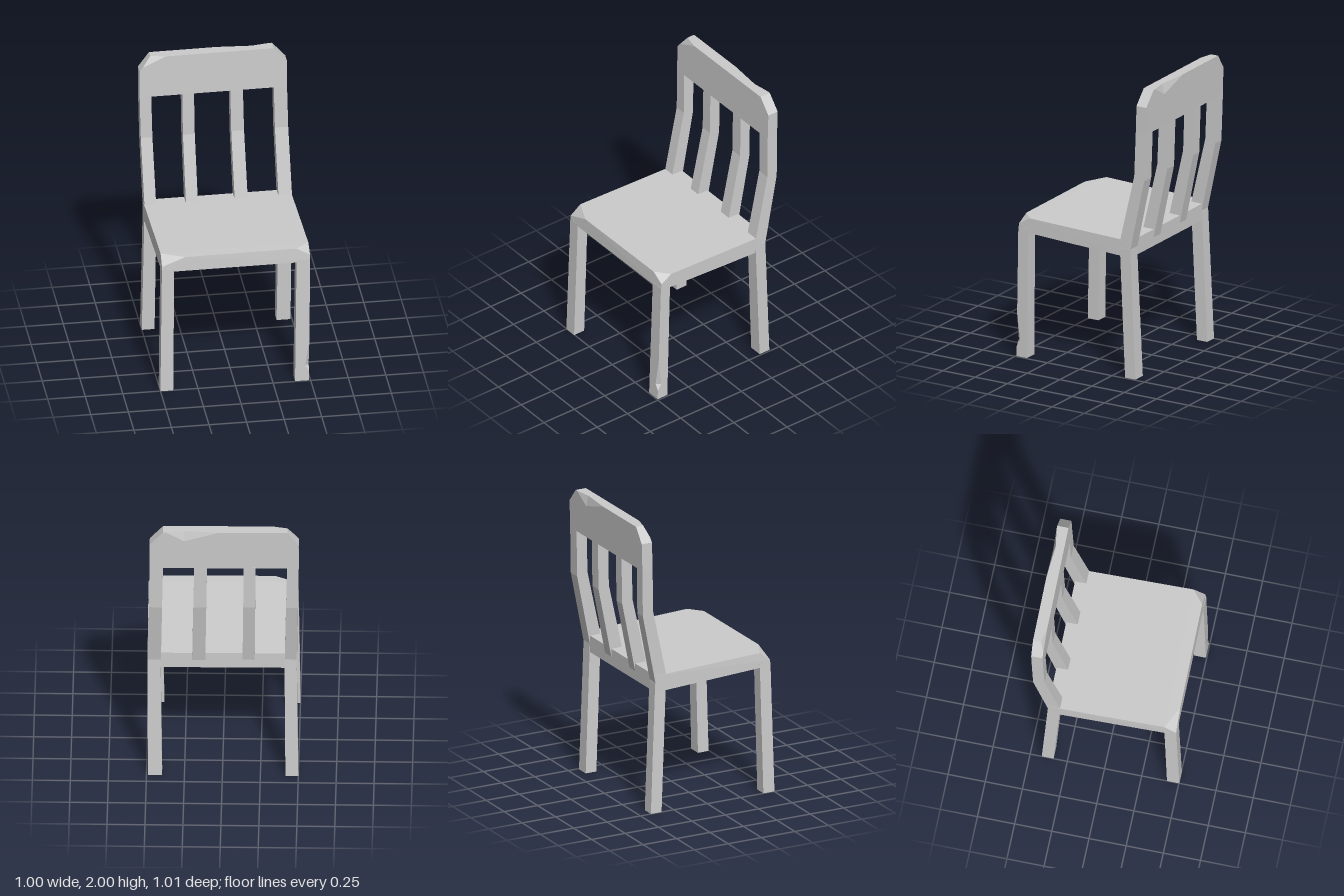
import * as THREE from 'three';
import { ConvexGeometry } from 'three/addons/geometries/ConvexGeometry.js';

const material = new THREE.MeshStandardMaterial({ color: 0xcccccc, flatShading: true });

// Four-cornered cross-section: back left, front left, front right, back right
const ring = (yFront, yBack, x0, x1, zBack, zFront) =>
  [[x0, yBack, zBack], [x0, yFront, zFront], [x1, yFront, zFront], [x1, yBack, zBack]];

// Flat-faced solid through cross-sections listed from bottom to top
function loft(rings) {
  const pos = [];
  const tri = (a, b, c) => pos.push(...a, ...b, ...c);
  const n = rings[0].length;
  for (let r = 0; r < rings.length - 1; r++) {
    for (let i = 0; i < n; i++) {
      const j = (i + 1) % n, lo = rings[r], hi = rings[r + 1];
      tri(lo[i], lo[j], hi[j]);
      tri(lo[i], hi[j], hi[i]);
    }
  }
  const bottom = rings[0], top = rings[rings.length - 1];
  for (let i = 1; i < n - 1; i++) {
    tri(bottom[0], bottom[i + 1], bottom[i]);
    tri(top[0], top[i], top[i + 1]);
  }
  const g = new THREE.BufferGeometry();
  g.setAttribute('position', new THREE.Float32BufferAttribute(pos, 3));
  g.computeVertexNormals();
  return g;
}

const hull = (points) => new ConvexGeometry(points.map((p) => new THREE.Vector3(...p)));

export function createModel() {
  const group = new THREE.Group();
  const add = (name, geometry) => {
    const mesh = new THREE.Mesh(geometry, material);
    mesh.name = name;
    group.add(mesh);
  };

  // Seat slab, sloping backwards, with both front corners chipped off
  add('seat', hull([
    [-0.49, 0.955, -0.382], [0.493, 0.955, -0.388], [-0.49, 0.84, -0.382], [0.493, 0.84, -0.388],
    [-0.486, 0.88, 0.48], [0.5, 0.88, 0.474],
    [-0.33, 0.98, 0.474], [-0.484, 0.98, 0.4], [-0.486, 0.92, 0.478],
    [0.41, 0.98, 0.467], [0.5, 0.98, 0.39], [0.5, 0.93, 0.47],
  ]));

  // Front legs; the left one has a notch in its outer corner near the foot
  add('frontRightLeg', loft([
    ring(0, 0, -0.5, -0.415, 0.42, 0.503),
    ring(0.9, 0.9, -0.487, -0.405, 0.4, 0.48),
  ]));
  const notchedRing = (y, cut) => {
    const t = y / 0.9;
    const x0 = 0.397 + 0.013 * t, x1 = 0.49 + 0.01 * t;
    const zb = 0.415 - 0.015 * t, zf = 0.495 - 0.02 * t;
    return [[x0, y, zb], [x0, y, zf], [x1 - cut, y, zf], [x1, y, zf - cut], [x1, y, zb]];
  };
  add('frontLeftLeg', loft([[0, 0], [0.07, 0], [0.11, 0.027], [0.3, 0], [0.9, 0]]
    .map(([y, cut]) => notchedRing(y, cut))));

  // Back legs, splayed to the rear
  add('backRightLeg', loft([
    ring(0, 0, -0.5, -0.415, -0.422, -0.342),
    ring(0.9, 0.9, -0.488, -0.408, -0.384, -0.303),
  ]));
  add('backLeftLeg', loft([
    ring(0, 0, 0.397, 0.49, -0.425, -0.345),
    ring(0.9, 0.9, 0.408, 0.495, -0.388, -0.308),
  ]));

  // Bent posts and slats of the backrest: bottom and top x ranges
  const uprights = [
    ['rightPost', -0.488, -0.41, -0.504, -0.427],
    ['rightSlat', -0.212, -0.132, -0.22, -0.142],
    ['leftSlat', 0.113, 0.2, 0.1, 0.184],
    ['leftPost', 0.405, 0.495, 0.39, 0.478],
  ];
  for (const [name, a0, a1, b0, b1] of uprights) {
    const skew = -0.01 * (a0 + a1) / 2;
    const m0 = a0 + (b0 - a0) * 0.6, m1 = a1 + (b1 - a1) * 0.6;
    add(name, loft([
      ring(0.95, 0.9, a0, a1, -0.385 + skew, -0.305 + skew),
      ring(1.41, 1.39, m0, m1, -0.485 + skew, -0.408 + skew),
      ring(1.72, 1.72, b0, b1, -0.493 + skew, -0.416 + skew),
    ]));
  }

  // Top rail in two convex halves meeting at a chip in the upper back edge
  const front = (x, y) => [x, y, -0.424 - 0.01 * x + (2 - y) * 0.028];
  const back = (x, y) => [x, y, -0.5 - 0.01 * x + (2 - y) * 0.025];
  const chip = [
    front(0.25, 1.71), back(0.25, 1.71), front(0.25, 2), back(0.25, 1.93), [0.25, 2, -0.484],
  ];
  add('topRailRight', hull([
    ...chip, front(-0.504, 1.71), back(-0.504, 1.71), front(-0.504, 1.9), back(-0.504, 1.9),
    back(-0.43, 2), back(0.02, 2),
    // chipped front corner
    front(-0.33, 2), front(-0.41, 1.92), front(-0.48, 1.93), [-0.43, 2, -0.442],
  ]));
  add('topRailLeft', hull([
    ...chip, front(0.478, 1.71), back(0.478, 1.71), front(0.478, 1.9), back(0.478, 1.9),
    front(0.39, 2), back(0.39, 2), back(0.37, 2),
  ]));

  return group;
}
